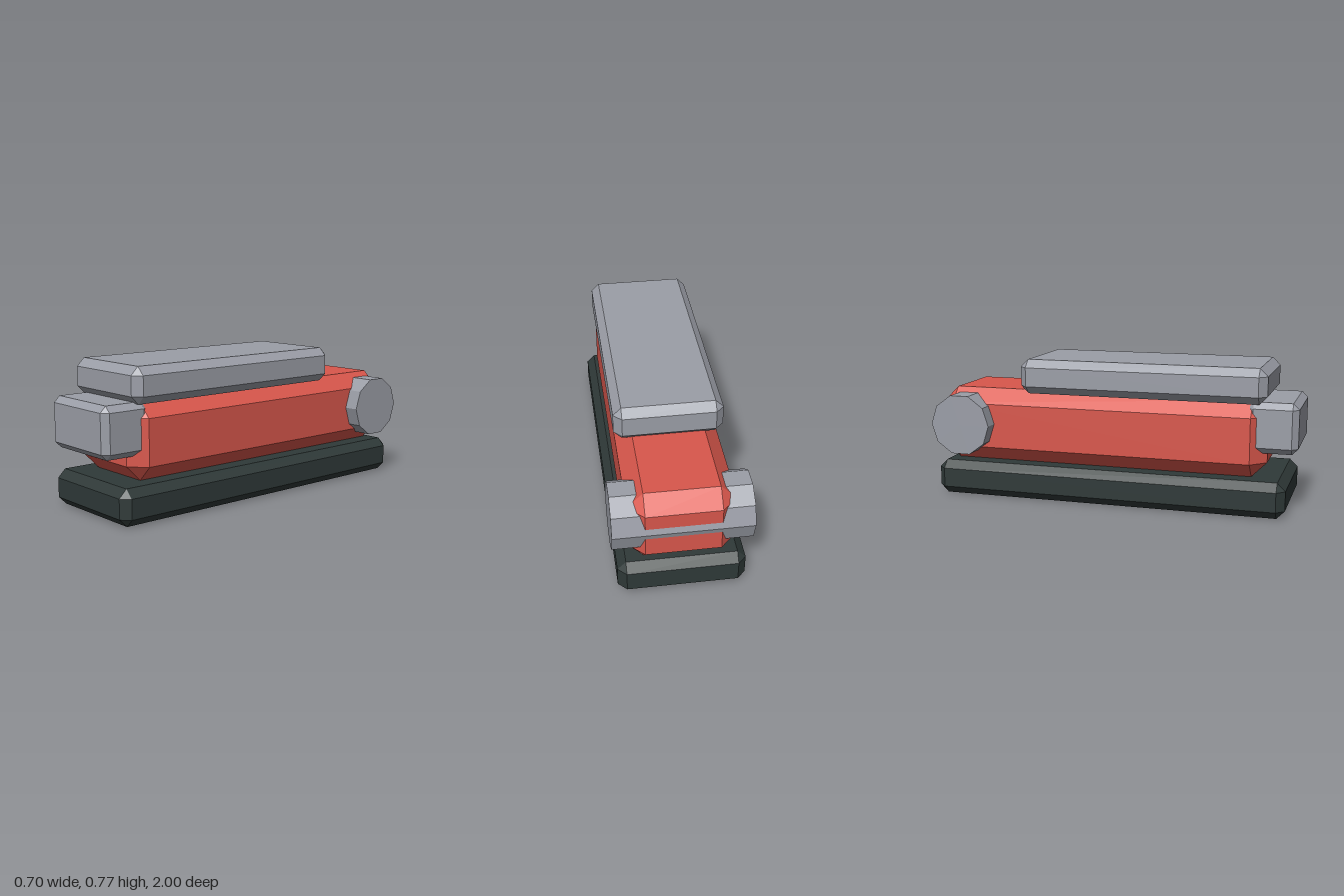
import * as THREE from 'three';
import { ConvexGeometry } from 'three/addons/geometries/ConvexGeometry.js';

// Box with every edge cut at 45 degrees by c, spanning the given [min, max] ranges
function chamferBox(halfWidth, [y0, y1], [z0, z1], c) {
  const h = [halfWidth, (y1 - y0) / 2, (z1 - z0) / 2];
  const points = [];
  for (const sx of [-1, 1]) for (const sy of [-1, 1]) for (const sz of [-1, 1]) {
    // three points per corner, each lying on one of the main faces
    for (let axis = 0; axis < 3; axis++) {
      const [x, y, z] = h.map((v, i) => (i === axis ? v : v - c));
      points.push(new THREE.Vector3(sx * x, sy * y, sz * z));
    }
  }
  return new ConvexGeometry(points).translate(0, (y0 + y1) / 2, (z0 + z1) / 2);
}

export function createModel() {
  const model = new THREE.Group();
  model.name = 'model';

  const material = (name, color) => {
    const m = new THREE.MeshStandardMaterial({ color, flatShading: true });
    m.name = name;
    return m;
  };
  const red = material('red', 0xd9574c);
  const grey = material('grey', 0x9b9ea7);
  const dark = material('dark green grey', 0x2f3938);

  const add = (name, geometry, mat) => {
    const mesh = new THREE.Mesh(geometry, mat);
    mesh.name = name;
    model.add(mesh);
  };

  // Stacked bevelled blocks
  add('base', chamferBox(0.322, [0, 0.19], [-0.99, 0.95], 0.043), dark);
  add('body', chamferBox(0.268, [0.19, 0.595], [-0.99, 0.84], 0.081), red);
  add('topPlate', chamferBox(0.281, [0.583, 0.77], [-0.505, 0.84], 0.042), grey);
  add('frontBlock', chamferBox(0.241, [0.325, 0.592], [0.735, 1], 0.032), grey);

  // Ten-sided roller lying across the rear
  const roller = new THREE.CylinderGeometry(0.17, 0.17, 0.696, 10);
  roller.rotateZ(Math.PI / 2).translate(0, 0.405, -0.83);
  add('rearRoller', roller, grey);

  return model;
}
